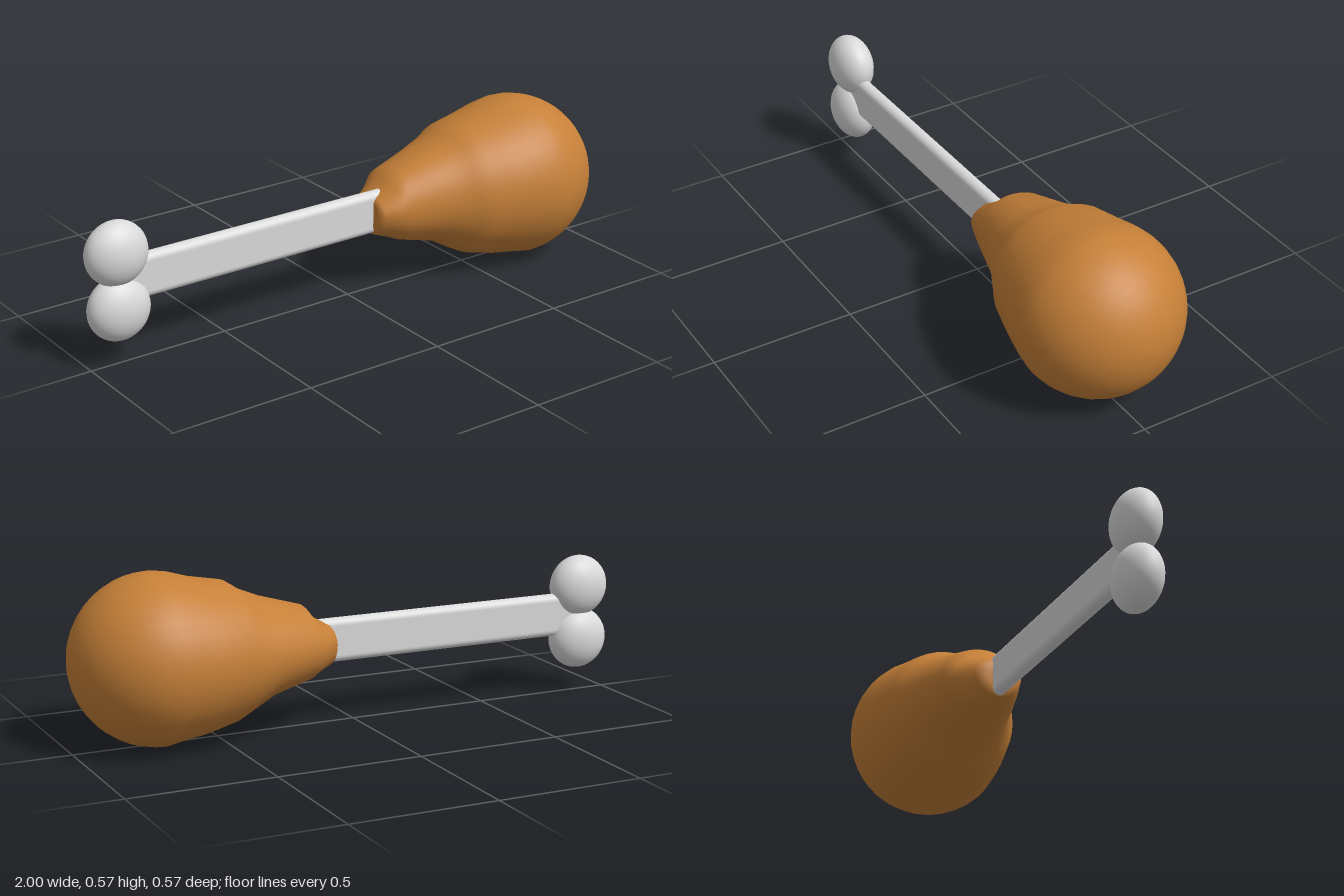
import * as THREE from 'three';

const CENTRE_Y = 0.288;

// Meat cross-sections: x, then reach up, down, back (-z) and front (+z)
function meatRings() {
  const rings = [
    [0.09, 0, 0, 0, 0],
    [0.09, 0.04, 0.06, 0.05, 0.05],
    [0.1, 0.055, 0.085, 0.09, 0.085],
    [0.165, 0.09, 0.11, 0.14, 0.107],
    [0.195, 0.13, 0.125, 0.165, 0.115],
    [0.34, 0.172, 0.163, 0.212, 0.158],
    [0.42, 0.205, 0.21, 0.236, 0.2],
    [0.47, 0.237, 0.236, 0.254, 0.227],
    [0.58, 0.257, 0.264, 0.278, 0.258],
    [0.65, 0.278, 0.275, 0.284, 0.274],
  ];
  // Rounded far end
  for (let i = 0; i <= 12; i++) {
    const a = (i / 12) * Math.PI / 2;
    const r = 0.287 * Math.cos(a);
    rings.push([0.71 + 0.288 * Math.sin(a), r, r, r, r * 0.985]);
  }
  return rings;
}

// Smooth skin through the rings, each with its own reach in four directions
function loft(rings, sides) {
  const positions = [], index = [];
  rings.forEach(([x, up, down, back, front], i) => {
    for (let j = 0; j < sides; j++) {
      const a = (j / sides) * Math.PI * 2;
      const c = Math.cos(a), s = Math.sin(a);
      positions.push(x, CENTRE_Y + c * (c > 0 ? up : down), s * (s > 0 ? front : back));
      if (i === rings.length - 1) continue;
      const k = (j + 1) % sides;
      const p = i * sides + j, q = i * sides + k;
      index.push(p, q, p + sides, q, q + sides, p + sides);
    }
  });
  const geometry = new THREE.BufferGeometry();
  geometry.setAttribute('position', new THREE.Float32BufferAttribute(positions, 3));
  geometry.setIndex(index);
  geometry.computeVertexNormals();
  return geometry;
}

// Flat bar with rounded upper and lower edges, extruded along x
function shaftGeometry(length, height, thickness) {
  const r = thickness / 2, h = height / 2 - r;
  const shape = new THREE.Shape();
  shape.absarc(0, h, r, 0, Math.PI, false);
  shape.absarc(0, -h, r, Math.PI, Math.PI * 2, false);
  shape.closePath();
  const geometry = new THREE.ExtrudeGeometry(shape, { depth: length, bevelEnabled: false, curveSegments: 16 });
  geometry.rotateY(Math.PI / 2);
  return geometry;
}

export function createModel() {
  const model = new THREE.Group();
  model.name = 'drumstick';
  const meatMaterial = new THREE.MeshStandardMaterial({ color: 0xc68038 });
  meatMaterial.name = 'roast brown';
  const boneMaterial = new THREE.MeshStandardMaterial({ color: 0xdadada });
  boneMaterial.name = 'bone white';

  const add = (name, geometry, material, x, y, z) => {
    const mesh = new THREE.Mesh(geometry, material);
    mesh.name = name;
    mesh.position.set(x, y, z);
    model.add(mesh);
    return mesh;
  };

  // Meat
  add('meat', loft(meatRings(), 40), meatMaterial, 0, 0, 0);

  // Bone shaft, its end buried in the meat
  add('boneShaft', shaftGeometry(1.1, 0.152, 0.05), boneMaterial, -0.88, 0.284, 0);

  // Flattened knuckles at the bare end
  const knuckle = new THREE.SphereGeometry(0.109, 32, 24);
  for (const [name, y] of [['upperKnuckle', 0.382], ['lowerKnuckle', 0.192]]) {
    add(name, knuckle, boneMaterial, -0.891, y, 0).scale.z = 0.68;
  }
  return model;
}
